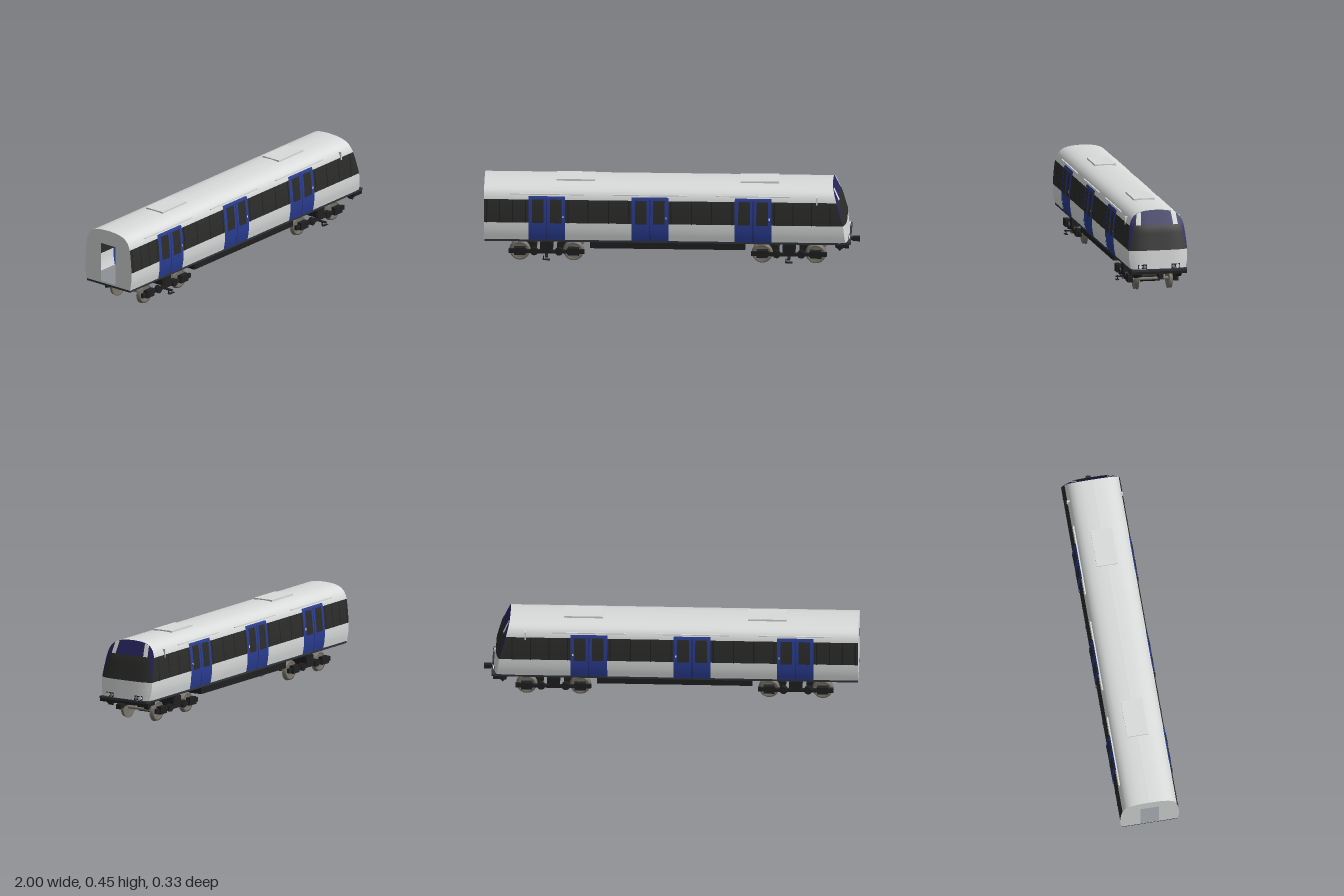
import * as THREE from 'three';

const mat = (name, color) => Object.assign(
  new THREE.MeshStandardMaterial({ color, side: THREE.DoubleSide }), { name });

const M = {
  white: mat('body white', 0xd8dbda),
  dark: mat('window dark', 0x2c2c2b),
  blue: mat('door blue', 0x2a3d92),
  navy: mat('nose navy', 0x26245c),
  slate: mat('underframe slate', 0x2f353b),
  black: mat('equipment black', 0x202021),
  steel: mat('wheel steel', 0x77736a),
  grey: mat('interior grey', 0x8d9196),
  lamp: mat('lamp white', 0xf0f0ec),
};

// Half cross-section of the body: half-width against height
const TOP = 0.446, SILL = 0.14, WAIST = 0.24, CANT = 0.368;
const profile = new THREE.CatmullRomCurve3([
  [0.149, 0.14], [0.157, 0.185], [0.159, 0.23], [0.156, 0.29], [0.148, 0.36], [0.141, 0.387],
  [0.128, 0.41], [0.106, 0.428], [0.075, 0.439], [0.04, 0.444], [0, TOP],
].map(([z, y]) => new THREE.Vector3(z, y, 0))).getPoints(40);

function halfWidth(y) {
  for (let i = 1; i < profile.length; i++) {
    const a = profile[i - 1], b = profile[i];
    if (y <= b.y) return a.x + (b.x - a.x) * Math.max(0, (y - a.y) / (b.y - a.y));
  }
  return 0;
}

// Raked nose: x of its edge, and of its bulging face
function noseEdge(y) {
  const pts = [[0.14, 0.926], [0.24, 0.914], [0.37, 0.878], [TOP, 0.857]];
  for (let i = 1; i < pts.length; i++) {
    const [y0, x0] = pts[i - 1], [y1, x1] = pts[i];
    if (y <= y1) return x0 + (x1 - x0) * (y - y0) / (y1 - y0);
  }
  return 0.857;
}
function noseX(y, z) {
  const u = Math.min(1, Math.abs(z) / Math.max(halfWidth(y), 0.001));
  return noseEdge(y) + 0.02 * Math.min(1, (TOP - y) / 0.1) * (1 - u ** 4);
}

function rows(y0, y1) {
  return [y0, ...profile.map(p => p.y).filter(y => y > y0 + 1e-4 && y < y1 - 1e-4), y1];
}

// Grid surface: one row for each height, point(t, y) across it
function patch(y0, y1, cols, point) {
  const ys = rows(y0, y1), pos = [], index = [];
  ys.forEach((y, r) => {
    for (let c = 0; c <= cols; c++) pos.push(...point(c / cols, y));
    if (r) for (let c = 0; c < cols; c++) {
      const a = (r - 1) * (cols + 1) + c, b = a + cols + 1;
      index.push(a, a + 1, b, a + 1, b + 1, b);
    }
  });
  const g = new THREE.BufferGeometry();
  g.setAttribute('position', new THREE.Float32BufferAttribute(pos, 3));
  g.setIndex(index);
  g.computeVertexNormals();
  return g;
}

export function createModel() {
  const model = new THREE.Group();
  model.name = 'railCar';
  model.position.z = -0.004;

  const add = (name, geo, material, parent = model) => {
    const m = new THREE.Mesh(geo, material);
    m.name = name;
    parent.add(m);
    return m;
  };
  const box = (name, material, x0, x1, y0, y1, z0, z1, parent) => {
    const g = new THREE.BoxGeometry(x1 - x0, y1 - y0, Math.abs(z1 - z0));
    return add(name, g.translate((x0 + x1) / 2, (y0 + y1) / 2, (z0 + z1) / 2), material, parent);
  };
  const rod = (name, material, r, len, x, y, z, parent, seg = 24) =>
    add(name, new THREE.CylinderGeometry(r, r, len, seg).rotateX(Math.PI / 2).translate(x, y, z), material, parent);
  // Body-side panel; without x1 it runs to the nose
  const panel = (name, material, s, x0, x1, y0, y1, off = 0) =>
    add(name, patch(y0, y1, 1, (t, y) => {
      const end = x1 ?? noseEdge(y);
      return [x0 + (end - x0) * (s > 0 ? t : 1 - t), y, s * (halfWidth(y) + off)];
    }), material);
  // Nose panel between two z limits given by height
  const face = (name, material, y0, y1, zA, zB, off = 0) =>
    add(name, patch(y0, y1, 16, (t, y) => {
      const z = zA(y) + (zB(y) - zA(y)) * t;
      return [noseX(y, z) + off, y, z];
    }), material);

  // Body sides, with door bays left open
  const doors = [-0.665, -0.115, 0.435], DW = 0.098, DOOR_TOP = 0.386;
  for (const s of [1, -1]) {
    panel('roofSide', M.white, s, -1, null, DOOR_TOP, TOP);
    let x0 = -1;
    for (const d of [...doors, null]) {
      const x1 = d === null ? null : d - DW;
      panel('lowerSide', M.white, s, x0, x1, SILL, WAIST);
      panel('windowBand', M.dark, s, x0, x1, WAIST, CANT);
      panel('upperSide', M.white, s, x0, x1, CANT, DOOR_TOP);
      const end = x1 ?? 0.86;
      for (let i = 0; i <= 3; i++) {
        const px = x0 + 0.015 + (end - x0 - 0.03) * i / 3;
        panel('windowPost', M.black, s, px - 0.003, px + 0.003, WAIST, CANT, 0.002);
      }
      x0 = d + DW;
    }
    for (const d of doors) {
      panel('doorSurround', M.blue, s, d - DW, d + DW, SILL, DOOR_TOP);
      panel('doorHeader', M.blue, s, d - DW, d + DW, 0.376, DOOR_TOP, 0.004);
      for (const k of [-1, 1]) {
        const c = d + k * 0.048;
        panel('doorLeaf', M.blue, s, c - 0.045, c + 0.045, SILL, 0.376, 0.002);
        panel('doorWindow', M.dark, s, c - 0.031, c + 0.031, WAIST, 0.37, 0.004);
        panel('doorPost', M.blue, s, d + k * 0.094 - 0.004, d + k * 0.094 + 0.004, SILL, DOOR_TOP, 0.004);
      }
      panel('doorSeam', M.navy, s, d - 0.002, d + 0.002, SILL, 0.376, 0.004);
      panel('doorButton', M.lamp, s, d + 0.083, d + 0.09, 0.27, 0.282, 0.006);
      box('rainStrip', M.white, d - 0.197, d + 0.197, 0.394, 0.399, s * 0.13, s * 0.143);
    }
    box('sideLamp', M.white, 0.77, 0.778, 0.355, 0.4, s * 0.135, s * 0.151);
    box('bench', M.blue, -0.54, -0.24, 0.15, 0.2, s * 0.1, s * 0.145);
  }

  // Nose: white lower panel, dark windscreen, navy cap with white stripes
  const hw = halfWidth, SCREEN = 0.37;
  const screen = y => 0.157 - 0.033 * (y - WAIST) / (SCREEN - WAIST);
  face('noseLower', M.white, SILL, WAIST, hw, y => -hw(y));
  face('windscreenSurround', M.dark, WAIST, SCREEN, screen, y => -screen(y));
  face('windscreen', M.dark, 0.25, SCREEN, () => 0.098, () => -0.098, 0.003);
  face('noseCap', M.navy, SCREEN, TOP, hw, y => -hw(y));
  for (const s of [1, -1]) {
    face('noseCorner', M.navy, WAIST, SCREEN, y => s > 0 ? hw(y) : -screen(y), y => s > 0 ? screen(y) : -hw(y));
    const a = y => s * Math.min(hw(y), 0.114 - (y - SCREEN) * 0.12);
    const b = y => s * Math.min(hw(y), 0.088 - (y - SCREEN) * 0.12);
    face('noseStripe', M.white, SCREEN, 0.436, s > 0 ? a : b, s > 0 ? b : a, 0.003);
    face('lampPanel', M.black, 0.144, 0.167, () => s * 0.09 + 0.024, () => s * 0.09 - 0.024, 0.003);
    for (const [z, r, m] of [[0.101, 0.01, M.lamp], [0.078, 0.008, M.grey]]) {
      add('headlight', new THREE.CylinderGeometry(r, r, 0.008, 20).rotateZ(Math.PI / 2)
        .translate(noseX(0.155, s * z) + 0.004, 0.155, s * z), m);
    }
  }

  // Rear wall with open gangway
  const wall = new THREE.Shape([
    ...profile.map(p => new THREE.Vector2(p.x, p.y)),
    ...profile.slice(0, -1).reverse().map(p => new THREE.Vector2(-p.x, p.y))]);
  wall.holes.push(new THREE.Path([[-0.05, 0.15], [-0.05, 0.365], [0.05, 0.365], [0.05, 0.15]]
    .map(p => new THREE.Vector2(...p))));
  add('rearWall', new THREE.ShapeGeometry(wall).rotateY(-Math.PI / 2).translate(-1, 0, 0), M.white);

  // Floor, cab partition, underframe and hanging equipment
  box('floor', M.grey, -0.998, 0.9, 0.14, 0.148, -0.146, 0.146);
  box('partition', M.grey, 0.72, 0.73, 0.148, 0.4, -0.12, 0.12);
  box('underframe', M.slate, -0.998, 0.92, 0.128, 0.14, -0.148, 0.148);
  box('equipmentCase', M.black, -0.435, 0.392, 0.086, 0.13, -0.13, 0.13);
  box('equipmentCover', M.black, -0.02, 0.288, 0.074, 0.087, -0.075, 0.075);

  // Front bumper, skirt and coupler
  box('bumper', M.slate, 0.9, 0.955, 0.13, 0.142, -0.15, 0.15);
  box('bumperBeam', M.black, 0.875, 0.945, 0.113, 0.131, -0.152, 0.152);
  for (const s of [1, -1]) {
    const gusset = new THREE.Shape([[0.87, 0.115], [0.925, 0.115], [0.895, 0.088]].map(p => new THREE.Vector2(...p)));
    add('skirtGusset', new THREE.ExtrudeGeometry(gusset, { depth: 0.03, bevelEnabled: false })
      .translate(0, 0, s * 0.115 - 0.015), M.black);
  }
  box('couplerBar', M.black, 0.88, 0.965, 0.103, 0.117, -0.007, 0.007);
  box('couplerHead', M.black, 0.96, 1, 0.098, 0.121, -0.013, 0.013);

  // Roof units
  for (const x of [-0.513, 0.467]) box('roofUnit', M.white, x - 0.103, x + 0.103, 0.436, 0.452, -0.057, 0.057);

  // Bogies
  const wheelShape = [[0, -0.006], [0.038, -0.004], [0.042, -0.01], [0.052, -0.01], [0.052, 0.006],
    [0.0565, 0.007], [0.0565, 0.01], [0.042, 0.01], [0.038, 0.004], [0, 0.006]].map(p => new THREE.Vector2(...p));
  for (const bx of [-0.667, 0.625]) {
    const bogie = new THREE.Group();
    bogie.name = 'bogie';
    bogie.position.x = bx;
    model.add(bogie);
    for (const wx of [-0.143, 0.143]) {
      rod('axle', M.steel, 0.008, 0.25, wx, 0.0565, 0, bogie, 16);
      rod('motor', M.black, 0.03, 0.104, wx * 0.58, 0.061, 0, bogie);
      for (const s of [1, -1]) {
        const wheel = new THREE.LatheGeometry(wheelShape, 32).rotateX(-s * Math.PI / 2);
        add('wheel', wheel.translate(wx, 0.0565, s * 0.092), M.steel, bogie);
        box('axleBox', M.black, wx - 0.03, wx + 0.03, 0.045, 0.086, s * 0.112, s * 0.138, bogie);
        box('frameEnd', M.black, wx * 1.08 - 0.047, wx * 1.08 + 0.047, 0.052, 0.076, s * 0.116, s * 0.13, bogie);
        rod('spring', M.black, 0.021, 0.022, wx * 0.46, 0.064, s * 0.124, bogie, 16);
      }
    }
    for (const s of [1, -1]) {
      box('sideFrame', M.black, -0.15, 0.15, 0.052, 0.07, s * 0.114, s * 0.128, bogie);
      box('airSpring', M.black, -0.024, 0.024, 0.07, 0.13, s * 0.095, s * 0.132, bogie);
    }
    box('bolster', M.black, -0.035, 0.035, 0.075, 0.115, -0.13, 0.13, bogie);
    // Current collector on the left-hand rail side
    box('shoeArm', M.black, -0.008, 0.008, 0.044, 0.05, 0.11, 0.167, bogie);
    box('shoeLink', M.black, -0.018, -0.012, 0.03, 0.05, 0.153, 0.157, bogie);
    box('shoe', M.black, -0.02, 0.02, 0.029, 0.032, 0.152, 0.168, bogie);
  }
  return model;
}
